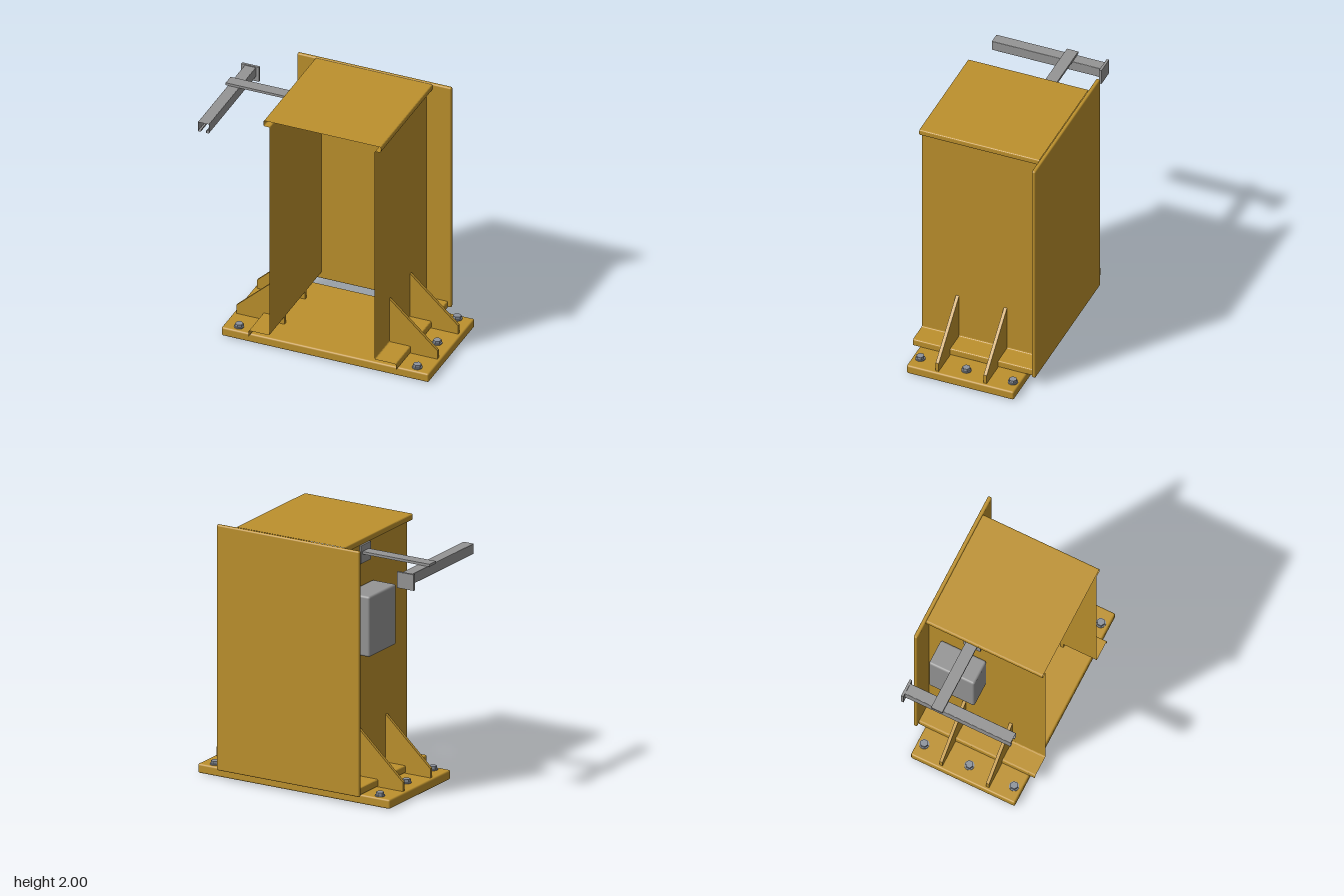
import * as THREE from 'three';
import { RoundedBoxGeometry } from 'three/addons/geometries/RoundedBoxGeometry.js';

const CX = 0.095; // middle of the housing and base in x

export function createModel() {
  const gold = new THREE.MeshStandardMaterial({ color: 0xbd912d, side: THREE.DoubleSide });
  gold.name = 'ochre paint';
  const grey = new THREE.MeshStandardMaterial({ color: 0x959595, side: THREE.DoubleSide });
  grey.name = 'grey metal';
  const steel = new THREE.MeshStandardMaterial({ color: 0x8d939c });
  steel.name = 'bolt steel';

  const model = new THREE.Group();
  model.name = 'machineStand';

  const add = (name, geometry, material, x = 0, y = 0, z = 0) => {
    const mesh = new THREE.Mesh(geometry, material);
    mesh.name = name;
    mesh.position.set(x, y, z);
    model.add(mesh);
    return mesh;
  };

  // Box given by its limits, with optional rounded edges
  const box = (name, material, [x0, x1], [y0, y1], [z0, z1], r = 0) => {
    const s = [x1 - x0, y1 - y0, z1 - z0];
    const g = r ? new RoundedBoxGeometry(...s, 2, r) : new THREE.BoxGeometry(...s);
    return add(name, g, material, (x0 + x1) / 2, (y0 + y1) / 2, (z0 + z1) / 2);
  };

  // Bent sheet: an open profile in x and y with softened corners, swept along z
  const sheet = (name, material, profile, z0, z1, r) => {
    const pts = profile.map((p) => new THREE.Vector2(...p));
    const line = [pts[0]];
    for (let i = 1; i < pts.length - 1; i++) {
      const a = pts[i].clone().add(pts[i - 1].clone().sub(pts[i]).setLength(r));
      const b = pts[i].clone().add(pts[i + 1].clone().sub(pts[i]).setLength(r));
      line.push(...new THREE.QuadraticBezierCurve(a, pts[i], b).getPoints(3));
    }
    line.push(pts[pts.length - 1]);
    const pos = [];
    for (let i = 0; i < line.length - 1; i++) {
      const p = line[i], q = line[i + 1];
      pos.push(p.x, p.y, z0, p.x, p.y, z1, q.x, q.y, z1);
      pos.push(p.x, p.y, z0, q.x, q.y, z1, q.x, q.y, z0);
    }
    const g = new THREE.BufferGeometry();
    g.setAttribute('position', new THREE.Float32BufferAttribute(pos, 3));
    g.computeVertexNormals();
    return add(name, g, material);
  };

  // Base and back plates
  box('basePlate', gold, [-0.745, 0.935], [0, 0.073], [-0.415, 0.45], 0.014);
  box('backPlate', gold, [-0.53, 0.72], [0.08, 2], [-0.5, -0.468], 0.012);

  // Housing: top, rolled edges, side walls and bottom flanges in one bent sheet
  const half = [[0.475, 1.998], [0.475, 1.95], [0.425, 1.95], [0.425, 0.132], [0.597, 0.132], [0.597, 0.08]];
  const right = half.map(([x, y]) => [CX + x, y]);
  const left = half.map(([x, y]) => [CX - x, y]).reverse();
  sheet('housingSheet', gold, [...left, ...right], -0.468, 0.5, 0.012);

  // Gussets and bolts on both sides
  for (const side of [-1, 1]) {
    const shape = new THREE.Shape(
      [[0.425, 0.073], [0.815, 0.073], [0.815, 0.145], [0.425, 0.505]]
        .map(([x, y]) => new THREE.Vector2(CX + side * x, y)));
    for (const z of [-0.175, 0.212]) {
      const g = new THREE.ExtrudeGeometry(shape, { depth: 0.025, bevelEnabled: false });
      add('gusset', g, gold, 0, 0, z - 0.0125);
    }
    for (const z of [-0.36, 0.015, 0.387]) {
      const x = CX + side * 0.722;
      add('washer', new THREE.CylinderGeometry(0.038, 0.038, 0.008, 20), steel, x, 0.077, z);
      const head = new THREE.CylinderGeometry(0.031, 0.031, 0.024, 6).toNonIndexed();
      head.computeVertexNormals();
      add('boltHead', head, steel, x, 0.091, z);
    }
  }

  // Control box on the side wall
  box('controlBox', grey, [-0.54, -0.331], [1.138, 1.612], [-0.368, 0.012], 0.018);

  // Bracket arm carrying an open rail
  box('armMount', grey, [-0.345, -0.331], [1.785, 1.925], [-0.175, -0.035]);
  box('bracketArm', grey, [-0.93, -0.345], [1.856, 1.876], [-0.152, -0.06]);
  box('railEndPlate', grey, [-0.942, -0.797], [1.737, 1.862], [-0.395, -0.376]);
  sheet('rail', grey, [[-0.888, 1.79], [-0.888, 1.775], [-0.913, 1.775], [-0.913, 1.855],
    [-0.823, 1.855], [-0.823, 1.775], [-0.848, 1.775], [-0.848, 1.79]], -0.376, 0.5, 0.004);

  return model;
}
